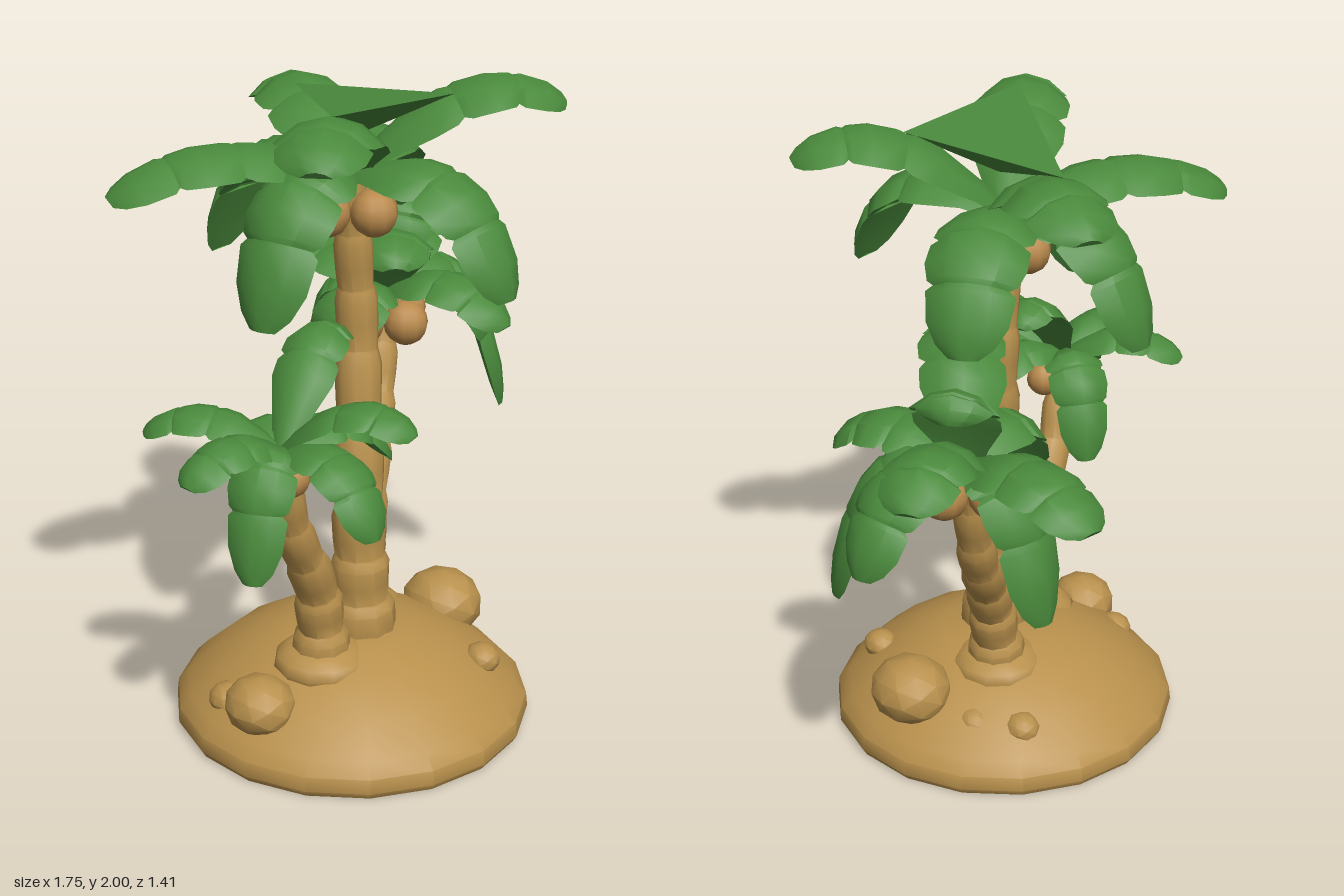
import * as THREE from 'three';
import { mergeVertices, toCreasedNormals } from 'three/addons/utils/BufferGeometryUtils.js';
import { ConvexGeometry } from 'three/addons/geometries/ConvexGeometry.js';

const V = (a) => new THREE.Vector3(...a);

function material(name, color) {
  const m = new THREE.MeshStandardMaterial({ color });
  m.name = name;
  return m;
}

function add(parent, name, geometry, mat) {
  const mesh = new THREE.Mesh(geometry, mat);
  mesh.name = name;
  parent.add(mesh);
  return mesh;
}

// Weld a built-in geometry and smooth it except across sharp edges
function soften(g, crease) {
  g.deleteAttribute('uv');
  g.deleteAttribute('normal');
  return toCreasedNormals(mergeVertices(g), crease);
}

// Closed surface through a list of rings with equal point counts, capped at both ends
function loft(rings) {
  const n = rings[0].length, idx = [];
  for (let i = 0; i < rings.length - 1; i++) {
    for (let j = 0; j < n; j++) {
      const a = i * n + j, b = i * n + (j + 1) % n;
      idx.push(a, b, a + n, b, b + n, a + n);
    }
  }
  const last = (rings.length - 1) * n;
  for (let j = 1; j < n - 1; j++) idx.push(0, j + 1, j, last, last + j, last + j + 1);
  const g = new THREE.BufferGeometry().setFromPoints(rings.flat());
  g.setIndex(idx);
  return toCreasedNormals(g, 0.7);
}

// Trunk: a curved tube whose radius swells and steps in at every growth ring
function trunkGeometry(points, r0, r1, segments) {
  const curve = new THREE.CatmullRomCurve3(points);
  const rings = [];
  for (let i = 0; i < segments; i++) {
    for (const [f, swell] of [[0.02, 0.93], [0.4, 1.03], [0.8, 1.09], [0.98, 0.97]]) {
      const t = (i + f) / segments;
      const flare = 1 + 0.22 * Math.max(0, 1 - t * 6);
      const r = THREE.MathUtils.lerp(r0, r1, t) * swell * flare;
      const center = curve.getPoint(t), tangent = curve.getTangent(t);
      const u = new THREE.Vector3().crossVectors(tangent, V([0, 0, 1])).normalize();
      const v = new THREE.Vector3().crossVectors(tangent, u);
      rings.push(Array.from({ length: 10 }, (_, k) => {
        const a = k / 10 * Math.PI * 2;
        return center.clone().addScaledVector(u, r * Math.cos(a)).addScaledVector(v, r * Math.sin(a));
      }));
    }
  }
  return loft(rings);
}

// Leaf: an arching blade in three overlapping pieces, each ridged along the middle
function leafGeometries(base, tip, width, lift) {
  const knee = base.clone().lerp(tip, base.y - tip.y > 0.12 ? 0.78 : 0.58);
  knee.y = Math.max(base.y, tip.y) + lift;
  const curve = new THREE.QuadraticBezierCurve3(base, knee, tip);
  const across = V([base.z - tip.z, 0, tip.x - base.x]).normalize();
  // Each step is a place along the leaf and the width there
  const pieces = [
    [[0, 0.35], [0.12, 0.6], [0.3, 1], [0.4, 1], [0.45, 0.8]],
    [[0.41, 0.7], [0.47, 1], [0.6, 1.02], [0.7, 0.9], [0.73, 0.7]],
    [[0.69, 0.6], [0.75, 0.9], [0.88, 0.82], [0.96, 0.58], [1, 0.3]],
  ];
  return pieces.map((piece) => loft(piece.map(([t, w]) => {
    const h = w * width / 2, d = h * 0.32;
    const center = curve.getPoint(t), tangent = curve.getTangent(t);
    const up = new THREE.Vector3().crossVectors(tangent, across).normalize();
    if (up.y < 0) up.negate();
    const u = new THREE.Vector3().crossVectors(up, tangent);
    const outline = [[h, -d * 0.8], [h * 0.55, d * 0.35], [0, d * 0.8],
      [-h * 0.55, d * 0.35], [-h, -d * 0.8], [0, -d * 0.45]];
    return outline.map(([a, b]) => center.clone().addScaledVector(u, a).addScaledVector(up, b));
  })));
}

export function createModel() {
  const sand = material('sandBrown', 0xb8904c);
  const nut = material('coconutBrown', 0xba8a4c);
  const green = material('leafGreen', 0x4a8a3c);

  const model = new THREE.Group();
  model.name = 'palmIsland';

  // Sand mound
  const profile = [[0, 0], [0.54, 0], [0.552, 0.02], [0.547, 0.065], [0.51, 0.105], [0.42, 0.185],
    [0.31, 0.25], [0.2, 0.295], [0, 0.32]].map(([x, y]) => new THREE.Vector2(x, y));
  add(model, 'mound', soften(new THREE.LatheGeometry(profile, 18), 0.7), sand)
    .position.set(-0.07, 0, 0.14);

  // Rocks: two boulders and a few half-buried stones
  function rock(x, y, z, size) {
    const g = new THREE.IcosahedronGeometry(size, 1).scale(1, 0.88, 1.08);
    add(model, 'rock', soften(g, 0.6), sand).position.set(x, y, z);
  }
  rock(0.33, 0.22, 0.16, 0.125);
  rock(-0.49, 0.185, 0.17, 0.105);
  rock(0.18, 0.19, 0.46, 0.055);
  rock(-0.48, 0.14, 0.02, 0.06);
  rock(0.26, 0.16, -0.05, 0.055);
  rock(0.18, 0.16, -0.18, 0.055);

  // Palm: the trunk path ends at the crown, from which leaves reach to their tips
  function palm(name, { path, radii, segments, nuts, nutSize, width, lift, tips }) {
    const tree = new THREE.Group();
    tree.name = name;
    model.add(tree);
    const points = path.map(V), foot = points[0], crown = points[points.length - 1];
    add(tree, 'trunk', trunkGeometry(points, ...radii, segments), sand);
    for (const tip of tips) {
      for (const g of leafGeometries(crown, V(tip), width, lift)) add(tree, 'leaf', g, green);
    }
    // Coconuts in a ring round the trunk, just under the crown
    const hub = crown.clone().lerp(points[points.length - 2], 0.2);
    for (let i = 0; i < nuts; i++) {
      const a = i / nuts * Math.PI * 2;
      add(tree, 'coconut', new THREE.SphereGeometry(nutSize, 10, 8), nut).position.set(
        hub.x + Math.cos(a) * nutSize * 1.35, hub.y, hub.z + Math.sin(a) * nutSize * 1.35);
    }
    // Sand heaped round the foot
    add(tree, 'rootMound', new THREE.SphereGeometry(0.15, 12, 8).scale(1, 0.5, 1), sand)
      .position.set(foot.x, 0.25, foot.z);
    return tree;
  }

  const tall = palm('tallPalm', {
    path: [[-0.07, 0.26, 0.18], [-0.08, 0.65, 0.18], [-0.02, 1.25, 0.11], [-0.07, 1.72, 0.12]],
    radii: [0.095, 0.046], segments: 8, nuts: 4, nutSize: 0.07, width: 0.29, lift: 0.18,
    tips: [[-0.58, 1.9, 0.5], [0.42, 1.91, 0.5], [0.17, 1.83, -0.42], [-0.69, 1.71, -0.2],
      [0, 1.46, 0.67], [0.4, 1.48, -0.16], [-0.5, 1.38, 0.2], [-0.13, 1.41, -0.37]],
  });
  palm('rightPalm', {
    path: [[0.06, 0.25, 0.04], [0.13, 0.52, 0], [0.31, 0.82, -0.12], [0.42, 1.17, -0.19]],
    radii: [0.08, 0.045], segments: 7, nuts: 4, nutSize: 0.072, width: 0.25, lift: 0.17,
    tips: [[0.86, 1.27, -0.41], [0.84, 0.98, -0.19], [0.71, 0.78, 0.06], [0.47, 1.17, -0.71],
      [0.42, 0.78, -0.5], [0.5, 1.14, 0.25], [0.06, 1.01, -0.08], [0.1, 1.4, 0.15], [0.57, 1.38, -0.28]],
  });
  palm('leftPalm', {
    path: [[-0.25, 0.24, 0.19], [-0.29, 0.5, 0.21], [-0.44, 0.79, 0.26], [-0.52, 1.06, 0.3]],
    radii: [0.08, 0.04], segments: 6, nuts: 3, nutSize: 0.058, width: 0.19, lift: 0.14,
    tips: [[-0.87, 1.06, 0.3], [-0.75, 0.77, 0.42], [-0.54, 0.92, 0.68], [-0.4, 1.18, 0.69],
      [-0.72, 1.08, -0.04], [-0.18, 1.29, 0.18], [-0.17, 0.96, 0.38], [-0.38, 0.8, 0.06]],
  });

  // Flat web joining the three highest leaves
  const web = [[-0.38, 1.99, 0.36], [0.13, 1.96, 0.34], [0.02, 1.92, -0.19], [-0.06, 1.84, 0.14]];
  add(tall, 'topLeafWeb', new ConvexGeometry(web.map(V)), green);

  return model;
}
